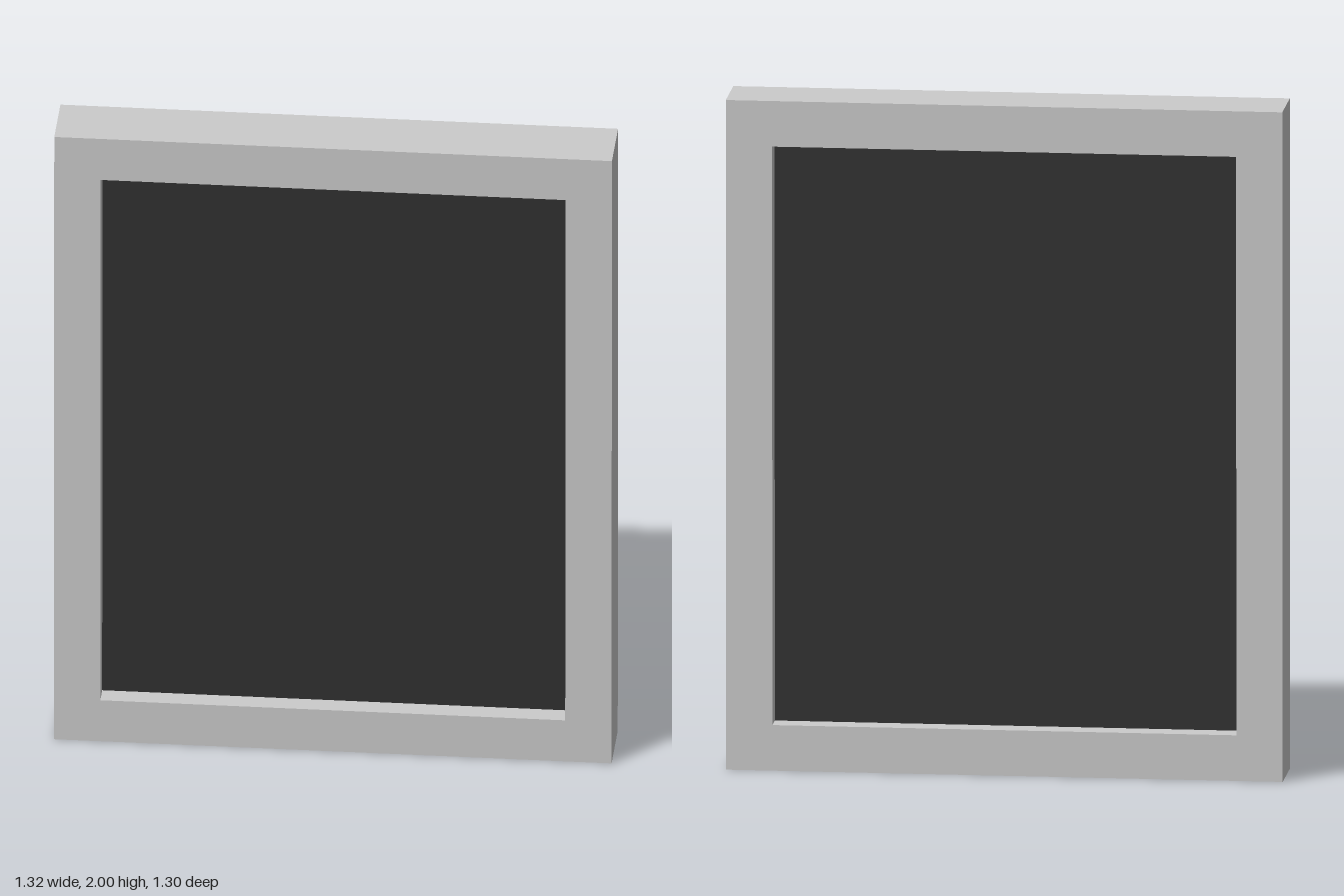
import * as THREE from 'three';

const WIDTH = 1.636, HEIGHT = 1.999, DEPTH = 0.2, BORDER = 0.136;

// Closed rectangle centred on the origin
function rectangle(Type, w, h) {
  return new Type([[-w, -h], [w, -h], [w, h], [-w, h]].map(([x, y]) => new THREE.Vector2(x / 2, y / 2)));
}

export function createModel() {
  const model = new THREE.Group();
  model.name = 'framedPanel';
  const openW = WIDTH - 2 * BORDER, openH = HEIGHT - 2 * BORDER;

  // Rectangular frame, open right through
  const outline = rectangle(THREE.Shape, WIDTH, HEIGHT);
  outline.holes.push(rectangle(THREE.Path, openW, openH));
  const frameGeometry = new THREE.ExtrudeGeometry(outline, { depth: DEPTH, bevelEnabled: false });
  frameGeometry.translate(0, 0, -DEPTH / 2);
  const frame = new THREE.Mesh(frameGeometry, new THREE.MeshStandardMaterial({ color: 0xcccccc }));
  frame.name = 'frame';

  // Dark pane, recessed on both faces
  const pane = new THREE.Mesh(
    new THREE.BoxGeometry(openW, openH, 0.072),
    new THREE.MeshStandardMaterial({ color: 0x313131 })
  );
  pane.name = 'pane';
  pane.position.z = 0.002;

  // The panel stands diagonally and leans back very slightly
  const panel = new THREE.Group();
  panel.name = 'panel';
  panel.add(frame, pane);
  panel.rotation.set(-0.0056, THREE.MathUtils.degToRad(-44.4), 0, 'YXZ');
  panel.position.y = 1;
  model.add(panel);
  return model;
}
